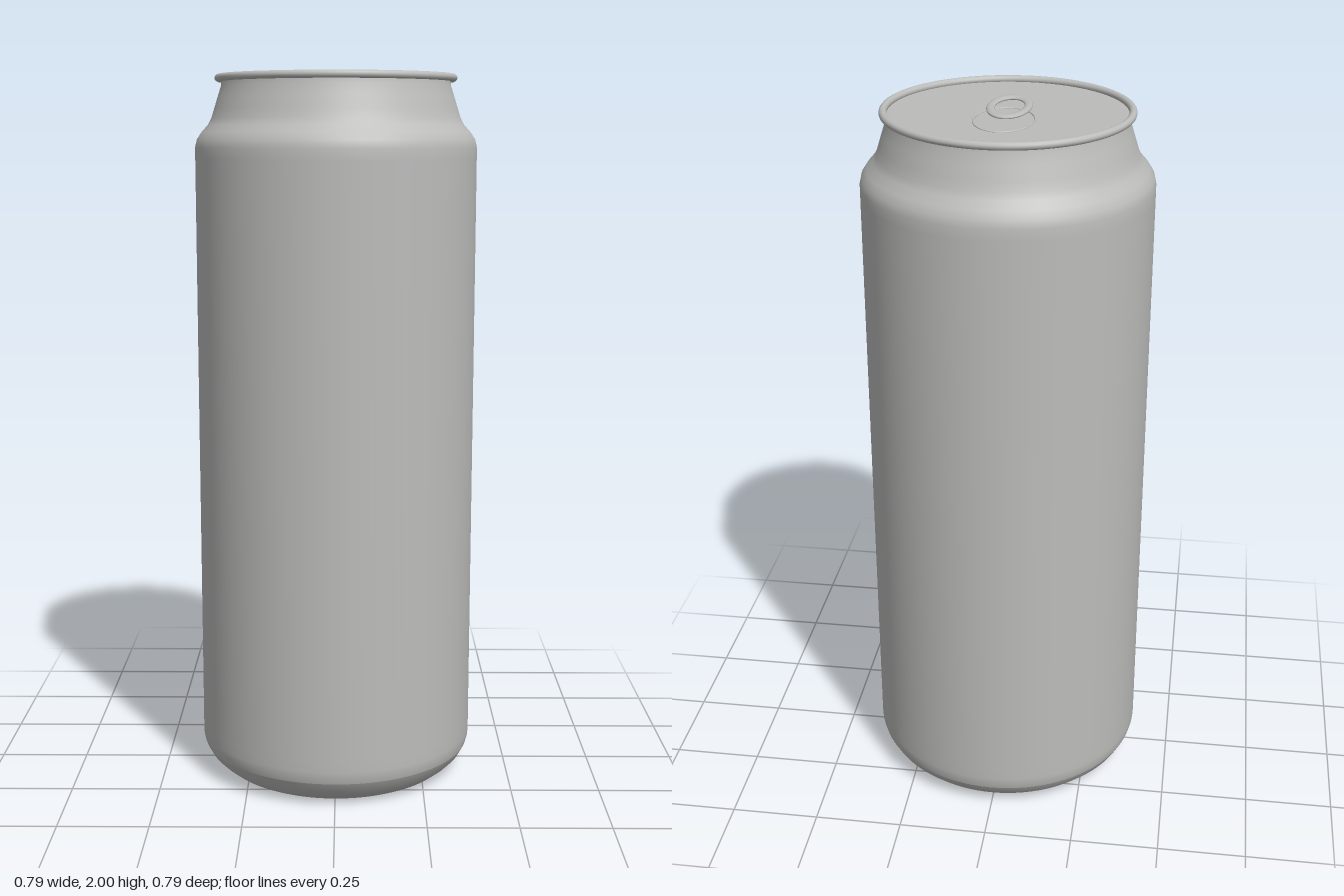
import * as THREE from 'three';

const SEG = 96;

export function createModel() {
  const can = new THREE.Group();
  can.name = 'drinkCan';

  const aluminium = new THREE.MeshStandardMaterial({ color: 0xbcbdbb });
  aluminium.name = 'aluminium';
  const darkBase = new THREE.MeshStandardMaterial({ color: 0x6c7272 });
  darkBase.name = 'dark base';

  const add = (name, geometry, material, y = 0, z = 0) => {
    const mesh = new THREE.Mesh(geometry, material);
    mesh.name = name;
    mesh.position.set(0, y, z);
    can.add(mesh);
    return mesh;
  };
  const lathe = (profile) =>
    new THREE.LatheGeometry(profile.map(([r, y]) => new THREE.Vector2(r, y)), SEG);
  // Flat-lying elliptical ring: radii of the tube centre line in x and z, height scale
  const ring = (radius, tube, stretch, flatten) =>
    new THREE.TorusGeometry(radius, tube, 14, SEG)
      .rotateX(Math.PI / 2)
      .scale(1, flatten, stretch);
  const disc = (radius, facing) =>
    new THREE.CircleGeometry(radius, SEG).rotateX(-facing * Math.PI / 2);

  // Tapered foot, with a crease where it meets the wall
  add('foot', lathe([
    [0.312, 0], [0.328, 0.008], [0.352, 0.027], [0.372, 0.047], [0.387, 0.074],
  ]), aluminium);
  add('bottomPanel', disc(0.313, -1), darkBase, 0.001);

  // Straight wall, shoulder and neck
  add('body', lathe([
    [0.387, 0.074], [0.392, 0.092], [0.393, 0.11], [0.393, 0.14],
    [0.393, 1.77], [0.393, 1.8], [0.388, 1.822], [0.375, 1.842],
    [0.357, 1.862], [0.347, 1.88], [0.339, 1.905], [0.328, 1.94],
    [0.319, 1.968], [0.317, 1.985],
  ]), aluminium);

  // Rolled rim and recessed lid
  add('rim', ring(0.326, 0.0105, 1, 1), aluminium, 1.9895);
  add('lid', disc(0.32, 1), aluminium, 1.984);

  // Scored opening, pull tab and rivet
  add('openingScore', ring(0.079, 0.0025, 1.45, 1), aluminium, 1.9845, -0.073);
  add('pullTab', ring(0.049, 0.011, 1.95, 0.5), aluminium, 1.991, 0.033);
  add('rivet', new THREE.CylinderGeometry(0.021, 0.021, 0.012, 32), aluminium, 1.989, -0.044);

  return can;
}
